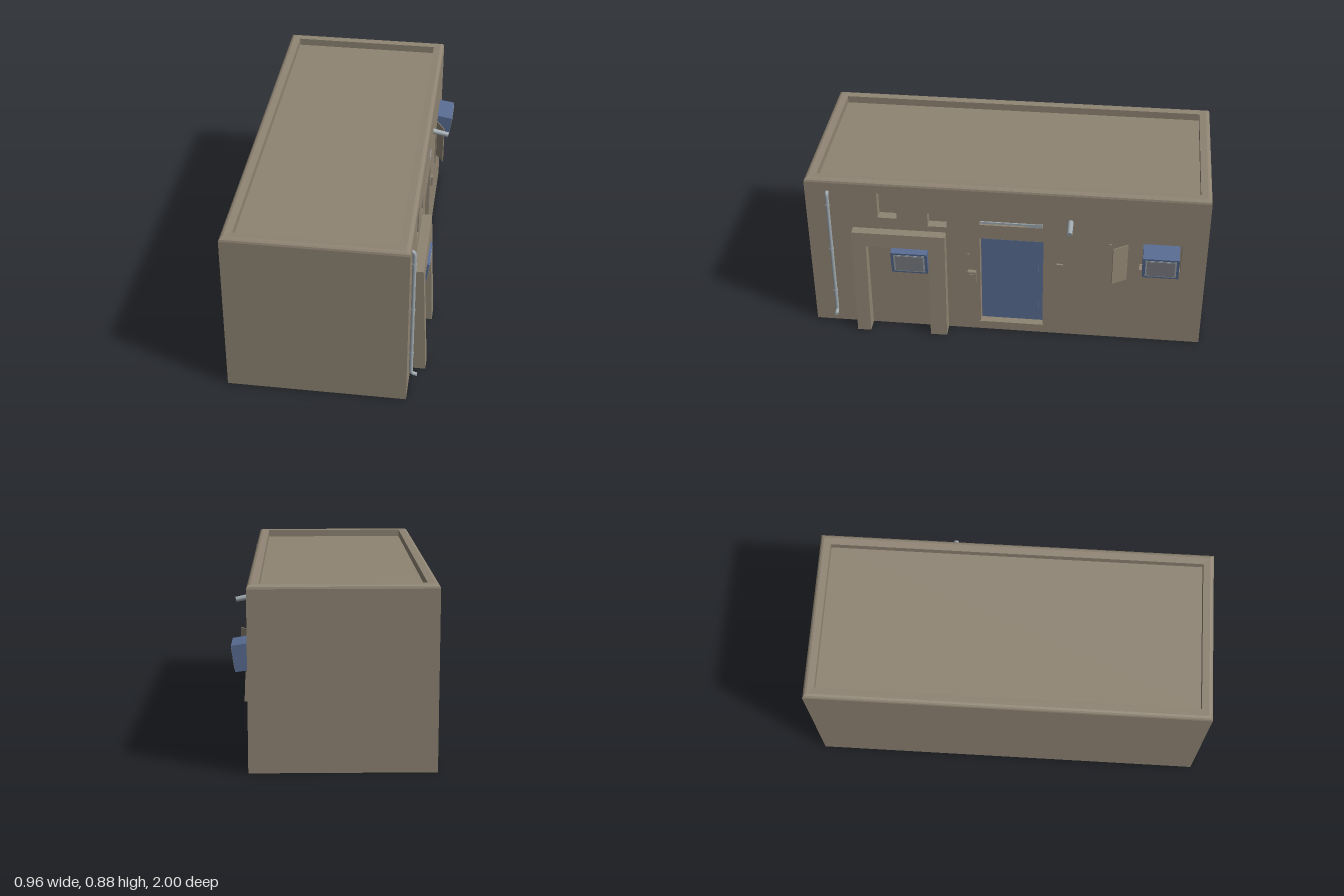
import * as THREE from 'three';

const mat = (name, color, side = THREE.FrontSide) => {
  const m = new THREE.MeshStandardMaterial({ color, side });
  m.name = name;
  return m;
};

export function createModel() {
  const clay = mat('clay', 0x8f8473);
  const blue = mat('blue paint', 0x586c92);
  const metal = mat('pale metal', 0x9fa9af);
  const screen = mat('grey screen', 0x85868c);

  const model = new THREE.Group();
  model.name = 'desertBuilding';
  const WALL = 0.395, LEFT = -0.48, DEPTH = 0.05;

  const add = (name, geo, material, parent = model) => {
    const m = new THREE.Mesh(geo, material);
    m.name = name;
    parent.add(m);
    return m;
  };
  // box given by its limits
  const box = (name, material, x0, x1, y0, y1, z0, z1) => {
    const m = add(name, new THREE.BoxGeometry(x1 - x0, y1 - y0, z1 - z0), material);
    m.position.set((x0 + x1) / 2, (y0 + y1) / 2, (z0 + z1) / 2);
    return m;
  };
  // outline or hole in the plane of the right wall (u = -z)
  const rect = (P, z0, z1, y0, y1) => {
    const p = new P();
    p.moveTo(-z1, y0);
    p.lineTo(-z0, y0);
    p.lineTo(-z0, y1);
    p.lineTo(-z1, y1);
    p.closePath();
    return p;
  };
  const wallExtrude = (shape, depth, x) => {
    const g = new THREE.ExtrudeGeometry(shape, { depth, bevelEnabled: false });
    g.rotateY(Math.PI / 2);
    g.translate(x, 0, 0);
    return g;
  };

  // Body: rectangular loops [inset, height] with rounded top edge, parapet and sunken roof
  const loops = [[0, 0], [0, 0.86], [0.003, 0.87], [0.01, 0.877], [0.02, 0.88], [0.055, 0.878], [0.055, 0.84]];
  const corners = ([i, y]) => [
    [LEFT + i, y, 1 - i], [WALL - i, y, 1 - i], [WALL - i, y, -1 + i], [LEFT + i, y, -1 + i],
  ];
  const pos = [];
  const quad = (a, b, c, d) => pos.push(...a, ...b, ...c, ...a, ...c, ...d);
  for (let l = 0; l < loops.length - 1; l++) {
    const lo = corners(loops[l]), hi = corners(loops[l + 1]);
    for (let k = 0; k < 4; k++) {
      if (l === 0 && k === 1) continue; // the pierced wall goes here
      const n = (k + 1) % 4;
      quad(lo[k], lo[n], hi[n], hi[k]);
    }
  }
  quad(...corners(loops[loops.length - 1]));
  quad(...corners(loops[0]).reverse());
  const body = new THREE.BufferGeometry();
  body.setAttribute('position', new THREE.Float32BufferAttribute(pos, 3));
  body.computeVertexNormals();
  add('bodyAndRoof', body, clay);

  // Right wall with its recesses: z0, z1, y0, y1
  const wall = rect(THREE.Shape, -1, 1, 0, 0.86);
  [
    [-0.19, 0.13, 0.045, 0.58],    // door
    [0.545, 0.64, 0.67, 0.815],    // tall window
    [0.295, 0.39, 0.635, 0.71],    // small window
    [-0.185, 0.13, 0.662, 0.686],  // slot
    [-0.875, -0.67, 0.445, 0.605], // rear unit
  ].forEach((h) => wall.holes.push(rect(THREE.Path, ...h)));
  add('piercedWall', wallExtrude(wall, DEPTH, WALL - DEPTH), clay);
  box('recessBacking', clay, 0.335, 0.346, 0.01, 0.83, -0.98, 0.98);

  // Door with raised panel, sill and slot bar
  box('door', blue, 0.345, 0.356, 0.045, 0.578, -0.188, 0.128);
  box('doorPanel', blue, 0.355, 0.362, 0.07, 0.555, -0.165, 0.105);
  box('doorSill', clay, 0.36, 0.4, 0.035, 0.052, -0.195, 0.135);
  box('slotBar', metal, 0.37, 0.392, 0.668, 0.679, -0.1, 0.125);
  box('slotEnd', metal, 0.37, 0.397, 0.664, 0.684, -0.183, -0.1);

  // Portal: two battered legs and a lintel
  const portal = new THREE.Shape();
  [[-0.77, 0], [-0.7, 0], [-0.7, 0.525], [-0.385, 0.525], [-0.385, 0], [-0.3, 0], [-0.3, 0.603], [-0.77, 0.603]]
    .forEach(([u, y], i) => (i ? portal.lineTo(u, y) : portal.moveTo(u, y)));
  const portalGeo = wallExtrude(portal, 0.076, WALL - 0.002);
  const pp = portalGeo.attributes.position;
  for (let i = 0; i < pp.count; i++) {
    if (pp.getX(i) > WALL) pp.setX(i, 0.469 - 0.043 * pp.getY(i));
  }
  portalGeo.computeVertexNormals();
  add('portal', portalGeo, clay);

  // Tilted cooling units: side profile stretched along z, with rim and screen
  const coolingUnit = (name, zMid, width, y, h, xTop) => {
    const g = new THREE.Group();
    g.name = name;
    const xb = xTop - 0.018, x0 = WALL - 0.045;
    const side = new THREE.Shape([
      new THREE.Vector2(x0, y + 0.015), new THREE.Vector2(xb, y),
      new THREE.Vector2(xTop, y + h), new THREE.Vector2(x0, y + h + 0.02),
    ]);
    const geo = new THREE.ExtrudeGeometry(side, { depth: width, bevelEnabled: false });
    geo.translate(0, 0, -width / 2);
    add('casing', geo, blue, g);
    [['rim', metal, 0.85, 0.003], ['screen', screen, 0.76, 0.006]].forEach(([n, m, s, t]) => {
      const p = add(n, new THREE.BoxGeometry(t, h * s, width * s), m, g);
      p.position.set((xb + xTop) / 2, y + h / 2, 0);
      p.rotation.z = -Math.atan2(xTop - xb, h);
    });
    g.position.z = zMid;
    model.add(g);
  };
  coolingUnit('rearCoolingUnit', -0.775, 0.18, 0.447, 0.125, 0.474);
  coolingUnit('portalCoolingUnit', 0.483, 0.185, 0.37, 0.13, 0.457);

  // Drain pipe with bent ends and brackets
  const v = (x, y, z) => new THREE.Vector3(x, y, z);
  const path = new THREE.CurvePath();
  const pz = 0.887, px = 0.406;
  path.add(new THREE.QuadraticBezierCurve3(v(0.388, 0.808, pz), v(px, 0.808, pz), v(px, 0.785, pz)));
  path.add(new THREE.LineCurve3(v(px, 0.785, pz), v(px, 0.09, pz)));
  path.add(new THREE.QuadraticBezierCurve3(v(px, 0.09, pz), v(px, 0.067, pz), v(0.436, 0.066, pz)));
  add('drainPipe', new THREE.TubeGeometry(path, 120, 0.0095, 12), metal);
  const end = add('pipeMouth', new THREE.CircleGeometry(0.0095, 12), metal);
  end.rotation.y = Math.PI / 2;
  end.position.set(0.436, 0.066, pz);
  [0.2, 0.467, 0.735].forEach((y) => {
    const ring = add('pipeBracket', new THREE.CylinderGeometry(0.0115, 0.0115, 0.008, 12), metal);
    ring.position.set(px, y, pz);
  });

  // Short spout pointing out and slightly down
  const spout = add('spout', new THREE.CylinderGeometry(0.013, 0.015, 0.1, 14), metal);
  spout.position.set(0.426, 0.702, -0.322);
  spout.rotation.z = -Math.PI / 2 - 0.2;

  // Wall boxes
  box('keypad', clay, 0.39, 0.418, 0.31, 0.38, 0.15, 0.192);
  box('keypadCover', clay, 0.418, 0.422, 0.322, 0.368, 0.157, 0.185);
  box('switchBox', clay, 0.39, 0.406, 0.4, 0.452, -0.29, -0.258);
  box('doorHandlePlate', clay, 0.39, 0.4, 0.465, 0.48, 0.183, 0.195);

  // Open hatch: hinged leaf and thin fixed strip
  const leaf = add('hatchLeaf', new THREE.BoxGeometry(0.005, 0.213, 0.085), clay);
  leaf.position.set(0.418, 0.488, -0.573);
  leaf.rotation.y = Math.atan2(0.045, 0.073);
  box('hatchStrip', clay, 0.39, 0.402, 0.38, 0.594, -0.53, -0.515);

  return model;
}
